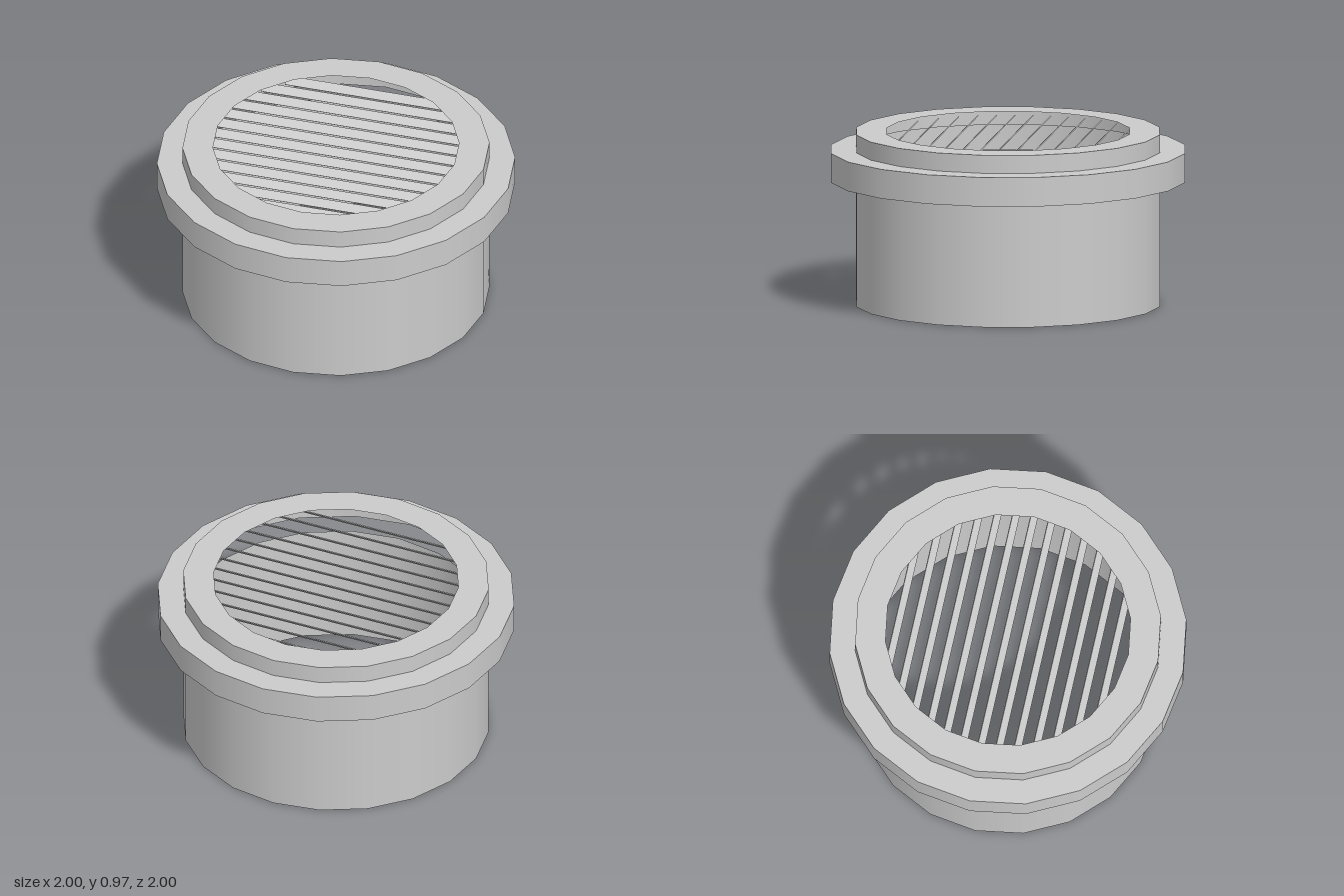
import * as THREE from 'three';

const SIDES = 20;

export function createModel() {
  const group = new THREE.Group();
  const material = new THREE.MeshStandardMaterial({ color: 0xcccccc, side: THREE.DoubleSide });

  // One thin revolved surface per band keeps the edges between bands sharp
  const band = (name, r0, y0, r1, y1) => {
    const profile = [new THREE.Vector2(r0, y0), new THREE.Vector2(r1, y1)];
    const mesh = new THREE.Mesh(new THREE.LatheGeometry(profile, SIDES), material);
    mesh.name = name;
    group.add(mesh);
  };

  // Open pipe, ending level with the bottom of the flange with a gap around it
  band('pipe', 0.857, 0, 0.857, 0.705);

  // Overhanging cover: skirt, step, collar and top rim around the opening
  band('flangeSkirt', 1, 0.705, 1, 0.87);
  band('flangeStep', 1, 0.87, 0.857, 0.87);
  band('collar', 0.857, 0.87, 0.857, 0.972);
  band('topRim', 0.857, 0.972, 0.687, 0.972);

  // Slanted louvre slats under the rim, their front edges lower
  const louvres = new THREE.Group();
  louvres.name = 'louvres';
  for (let i = -6; i <= 6; i++) {
    const z = i * 0.101 - 0.005;
    const length = 2 * Math.sqrt(0.77 * 0.77 - z * z);
    const slat = new THREE.Mesh(new THREE.BoxGeometry(length, 0.006, 0.052), material);
    slat.name = 'slat';
    slat.position.set(0, 0.92, z);
    slat.rotation.x = Math.PI / 4;
    louvres.add(slat);
  }
  group.add(louvres);

  return group;
}
